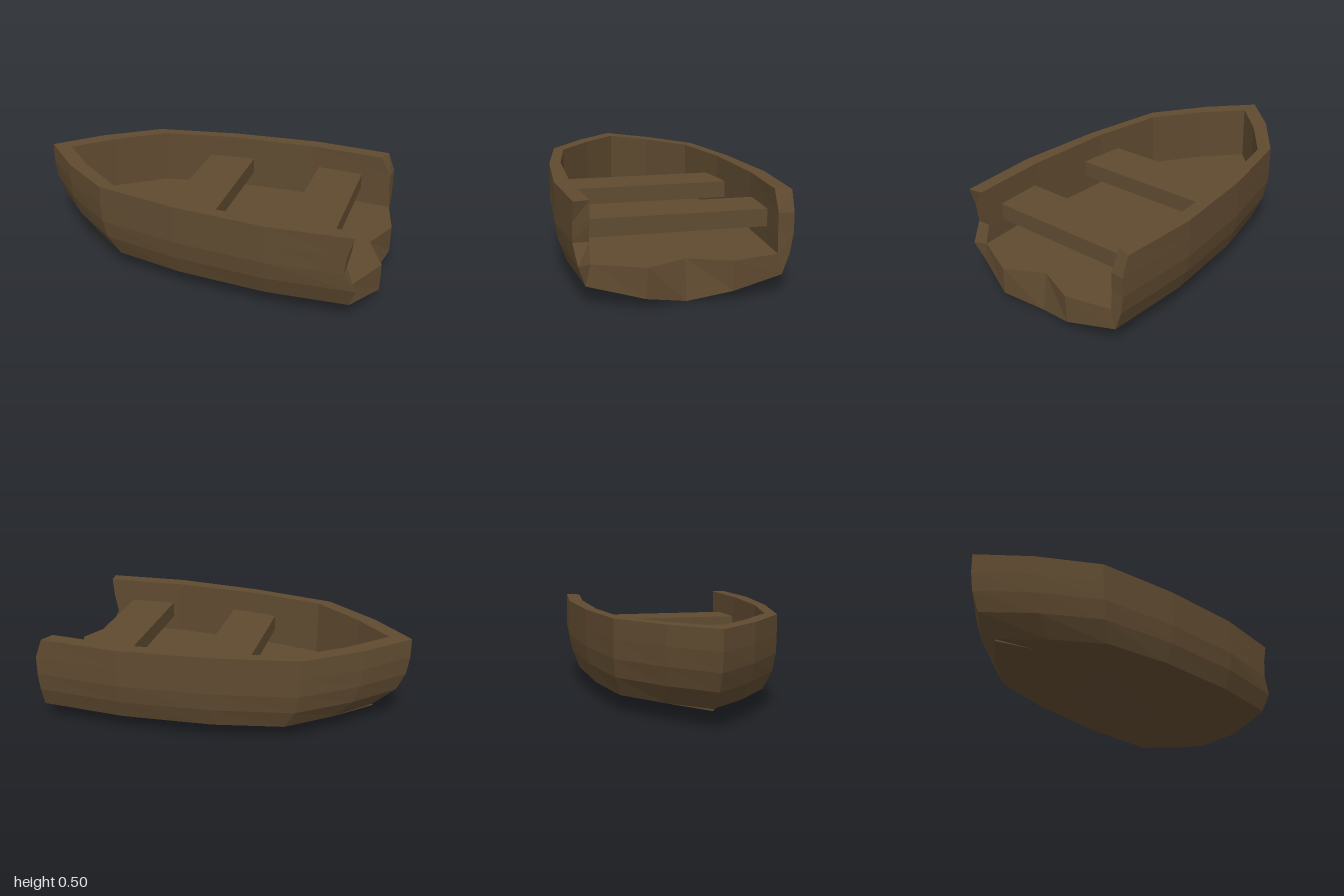
import * as THREE from 'three';

const RIM = 0.505, FLOOR = 0.2, MID = -0.03;

// stations from bow to broken stern: x, outer half-width, inner half-width
const stations = [
  [-1, 0, 0], [-0.78, 0.22, 0.19], [-0.49, 0.43, 0.38],
  [-0.03, 0.517, 0.455], [0.46, 0.558, 0.478], [0.9, 0.53, 0.453],
];

// levels from keel to rim
const outerY = [0, 0.05, 0.095, 0.2, 0.3, 0.4, RIM];
const outerScale = [0, 0.4, 0.9, 0.97, 1, 1, 1];
const outerBow = [-0.82, -0.82, -0.82, -0.94, -0.985, -1, -1];
const innerY = [FLOOR, FLOOR, FLOOR, FLOOR, 0.3, 0.4, RIM];
const innerScale = [0, 0.46, 1, 1, 1, 1, 1];

// ragged x of the broken end, by side and level
const broken = {
  1: { outer: [0.935, 1, 0.89, 0.92, 0.86, 0.87, 0.9], inner: [0.9, 1, 0.89, 0.89, 0.86, 0.88, 0.89] },
  '-1': { outer: [0.935, 0.985, 0.93, 0.93, 0.93, 0.93, 0.89], inner: [0.9, 0.985, 0.93, 0.93, 0.92, 0.92, 0.86] },
};

function hullPoint(s, k, side, isOuter) {
  const [sx, outerW, innerW] = stations[s];
  const bow = isOuter ? outerBow[k] : -0.88;
  const t = Math.max(0, (MID - sx) / (MID + 1)); // 1 at the bow, 0 amidships
  let x = t > 0 ? MID + t * (bow - MID) : sx;
  if (s === stations.length - 1) x = broken[side][isOuter ? 'outer' : 'inner'][k];
  let y = isOuter ? outerY[k] : innerY[k];
  if (isOuter && k < 2) y += t * (0.085 - y); // keel rises to the bow
  const z = side * (isOuter ? outerW * outerScale[k] : innerW * innerScale[k]);
  return [x, y, z];
}

// closed ring: outer skin rim to rim, then the inner skin back
function ring(s) {
  const pts = [];
  for (let i = 6; i >= -6; i--) pts.push(hullPoint(s, Math.abs(i), i < 0 ? -1 : 1, true));
  for (let i = -6; i <= 6; i++) pts.push(hullPoint(s, Math.abs(i), i < 0 ? -1 : 1, false));
  return pts;
}

function hullGeometry() {
  const pos = [];
  const quad = (a, b, c, d) => pos.push(...a, ...b, ...c, ...a, ...c, ...d);
  const rings = stations.map((_, s) => ring(s));
  for (let s = 0; s < rings.length - 1; s++) {
    const p = rings[s], q = rings[s + 1], n = p.length;
    for (let j = 0; j < n; j++) {
      const m = (j + 1) % n;
      quad(p[j], p[m], q[m], q[j]);
    }
  }
  // splintered end face between outer and inner skins
  const e = rings[rings.length - 1];
  for (let j = 0; j < 12; j++) quad(e[25 - j], e[j], e[j + 1], e[24 - j]);
  const g = new THREE.BufferGeometry();
  g.setAttribute('position', new THREE.Float32BufferAttribute(pos, 3));
  g.computeVertexNormals();
  return g;
}

// plank whose ends follow the hull walls
function benchGeometry(x0, w0, x1, w1) {
  const shape = new THREE.Shape([
    new THREE.Vector2(x0, -w0), new THREE.Vector2(x1, -w1),
    new THREE.Vector2(x1, w1), new THREE.Vector2(x0, w0),
  ]);
  const g = new THREE.ExtrudeGeometry(shape, { depth: 0.09, bevelEnabled: false });
  return g.rotateX(-Math.PI / 2).translate(0, 0.29, 0);
}

export function createModel() {
  const model = new THREE.Group();
  model.name = 'brokenRowboat';
  const wood = new THREE.MeshStandardMaterial({ color: 0x5f4a30, flatShading: true });
  const add = (name, geometry) => {
    const mesh = new THREE.Mesh(geometry, wood);
    mesh.name = name;
    model.add(mesh);
  };
  add('hull', hullGeometry());
  add('frontBench', benchGeometry(-0.165, 0.435, 0.1, 0.465));
  add('rearBench', benchGeometry(0.495, 0.48, 0.755, 0.465));
  return model;
}
